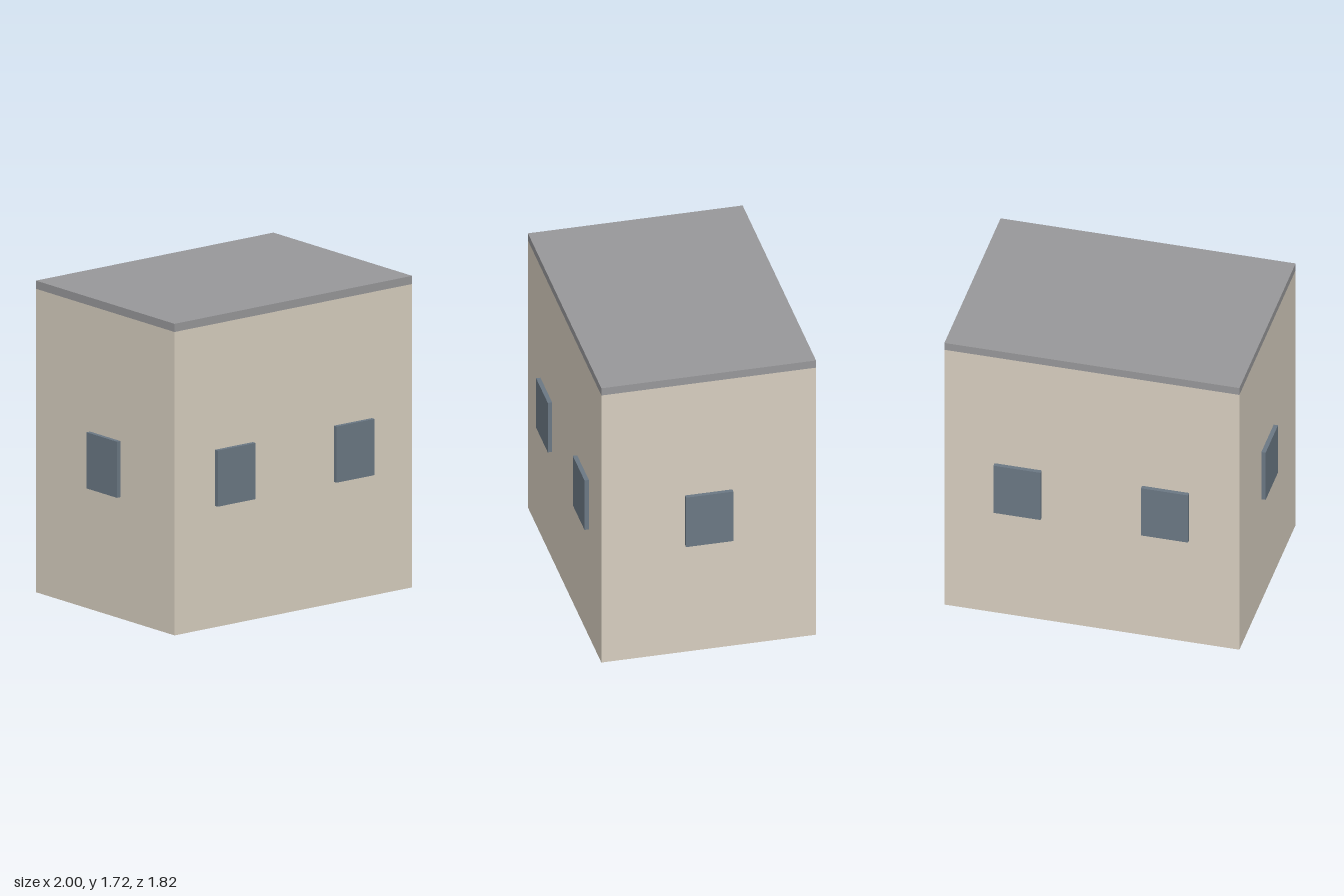
import * as THREE from 'three';

const W = 1.63, D = 1.182, H = 1.72, ROOF = 0.045;

export function createModel() {
  const model = new THREE.Group();
  model.name = 'building';

  const material = (name, color) => {
    const m = new THREE.MeshStandardMaterial({ color });
    m.name = name;
    return m;
  };
  const wall = material('beige wall', 0xd8cfc0);
  const roof = material('grey roof', 0x98989a);
  const glass = material('blue grey glass', 0x6b7884);

  const box = (name, size, pos, mat) => {
    const mesh = new THREE.Mesh(new THREE.BoxGeometry(...size), mat);
    mesh.name = name;
    mesh.position.set(...pos);
    model.add(mesh);
  };

  // Main block and flat roof slab
  box('walls', [W, H - ROOF, D], [0, (H - ROOF) / 2, 0], wall);
  box('roof', [W, ROOF, D], [0, H - ROOF / 2, 0], roof);

  // Windows: two on each long wall, one on each short wall, standing proud
  const winW = 0.26, winH = 0.31, winY = 0.825, out = 0.024, depth = 0.048;
  for (const side of [-1, 1]) {
    for (const x of [-W / 4, W / 4]) {
      box('longWallWindow', [winW, winH, depth], [x, winY, side * (D / 2 + out - depth / 2)], glass);
    }
    box('shortWallWindow', [depth, winH, winW], [side * (W / 2 + out - depth / 2), winY, 0], glass);
  }

  // The building stands turned on its plot
  model.rotation.y = 0.5027;
  return model;
}
